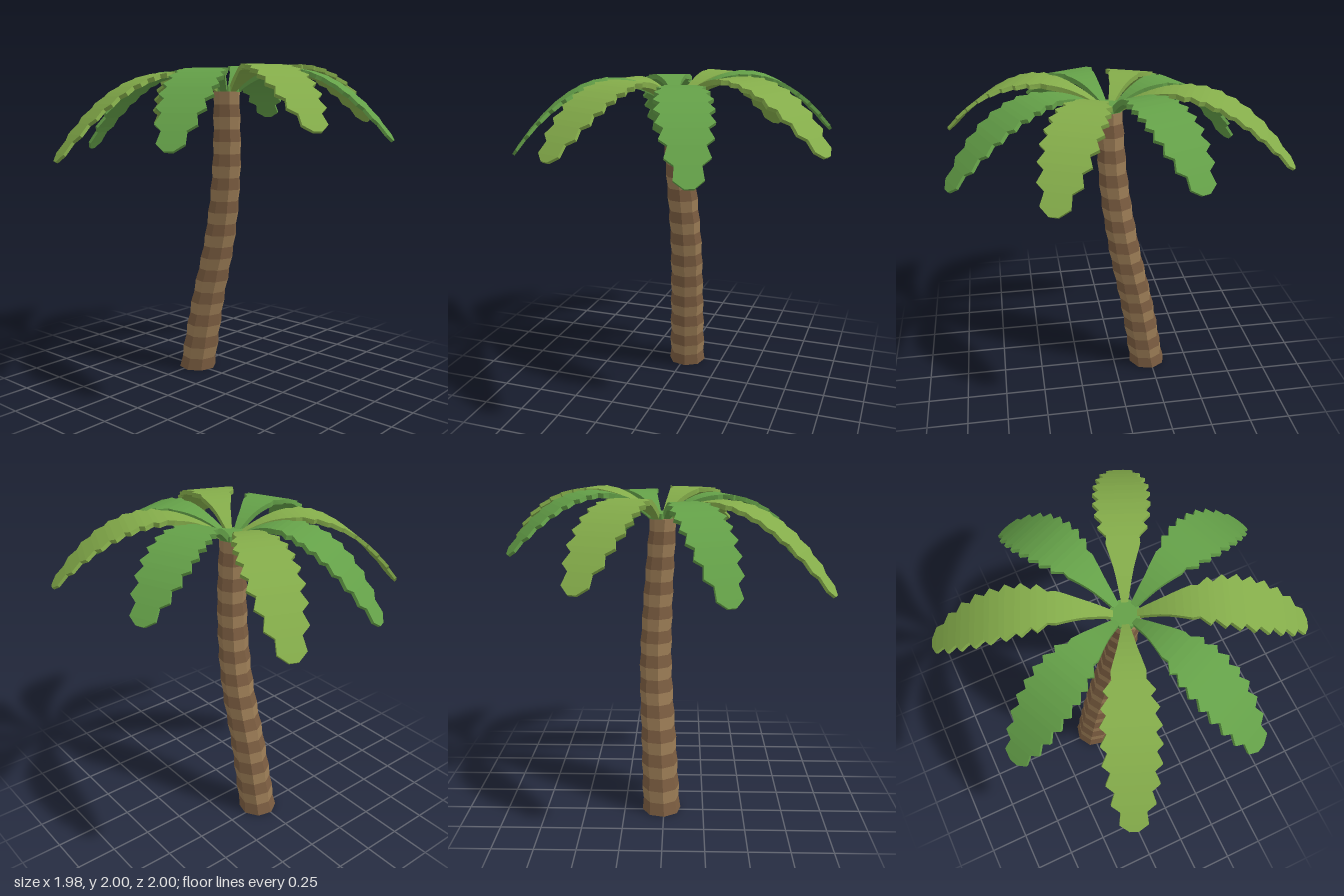
import * as THREE from 'three';
import { mergeGeometries } from 'three/addons/utils/BufferGeometryUtils.js';

// Joins a row of cross-sections (counterclockwise seen from the far end) into a closed, faceted solid.
function loft(rings) {
  const n = rings[0].length;
  const pos = [];
  const tri = (...pts) => pts.forEach((p) => pos.push(p.x, p.y, p.z));
  for (let i = 0; i < rings.length - 1; i++) {
    for (let j = 0; j < n; j++) {
      const k = (j + 1) % n;
      const a = rings[i][j], b = rings[i][k], c = rings[i + 1][k], d = rings[i + 1][j];
      tri(a, b, c);
      tri(a, c, d);
    }
  }
  const first = rings[0], last = rings[rings.length - 1];
  for (let j = 1; j < n - 1; j++) {
    tri(first[0], first[j + 1], first[j]);
    tri(last[0], last[j], last[j + 1]);
  }
  const geo = new THREE.BufferGeometry();
  geo.setAttribute('position', new THREE.Float32BufferAttribute(pos, 3));
  geo.computeVertexNormals();
  return geo;
}

const V = (x, y, z) => new THREE.Vector3(x, y, z);
const flat = (color) => new THREE.MeshStandardMaterial({ color, flatShading: true });

function part(name, geo, mat) {
  const mesh = new THREE.Mesh(geo, mat);
  mesh.name = name;
  return mesh;
}

// Leaning trunk: 24 bands in two browns, every second joint a little wider.
function createTrunk() {
  const path = new THREE.CatmullRomCurve3([
    V(-0.23, 0, -0.015), V(-0.155, 0.46, -0.035), V(-0.06, 0.92, -0.055),
    V(0.005, 1.37, -0.04), V(0.03, 1.83, -0.01),
  ]);
  const bands = 24, sides = 8;
  const rings = [];
  for (let i = 0; i <= bands; i++) {
    const t = i / bands;
    const c = path.getPoint(t);
    const r = THREE.MathUtils.lerp(0.12, 0.083, t) * (i % 2 ? 0.95 : 1.02);
    rings.push(Array.from({ length: sides }, (_, j) => {
      const a = (j / sides) * Math.PI * 2 + 0.15;
      return V(c.x + r * Math.cos(a), c.y, c.z - r * Math.sin(a));
    }));
  }
  const sets = [[], []];
  for (let i = 0; i < bands; i++) sets[i % 2].push(loft([rings[i], rings[i + 1]]));
  const trunk = new THREE.Group();
  trunk.name = 'trunk';
  trunk.add(part('darkBands', mergeGeometries(sets[0]), flat(0x7a5c40)));
  trunk.add(part('lightBands', mergeGeometries(sets[1]), flat(0x9c7d56)));
  return trunk;
}

// Half-width of a frond along its length, as [fraction, width].
const outline = [[0, 0.018], [0.15, 0.05], [0.35, 0.11], [0.5, 0.14], [0.68, 0.142],
  [0.82, 0.118], [0.93, 0.082], [1, 0.025]];

function halfWidth(t) {
  const i = Math.max(1, outline.findIndex((p) => p[0] >= t));
  const [t0, w0] = outline[i - 1], [t1, w1] = outline[i];
  return w0 + ((w1 - w0) * (t - t0)) / (t1 - t0);
}

// Arched frond along +x with toothed sides; the arch is a parabola set by its peak and tip heights.
function frondGeometry(length, peak, tip) {
  const base = 1.86, start = 0.06, steps = 24;
  const rise = peak - base, drop = base - tip;
  const a = 2 * rise + 2 * Math.sqrt(rise * rise + rise * drop);
  const b = a + drop;
  const rings = [];
  for (let i = 0; i <= steps; i++) {
    const t = i / steps;
    const toothed = t > 0.32 && i < steps;
    const tooth = toothed ? (i % 2 ? 0.02 : -0.016) : 0;
    const x = start + t * (length - start) + (toothed && i % 2 ? 0.012 : 0);
    const s = (x - start) / (length - start);
    const y = base + a * s - b * s * s;
    const slope = (a - 2 * b * s) / (length - start);
    const thick = THREE.MathUtils.lerp(0.036, 0.016, t);
    const n = Math.hypot(1, slope);
    const ux = x + (slope / n) * thick, uy = y - thick / n;
    const w = halfWidth(t) + tooth;
    rings.push([V(x, y, -w), V(x, y, w), V(ux, uy, w), V(ux, uy, -w)]);
  }
  return loft(rings);
}

export function createModel() {
  const model = new THREE.Group();
  model.name = 'palmTree';
  model.add(createTrunk());

  const crown = new THREE.Group();
  crown.name = 'crown';
  crown.position.set(0.03, 0, -0.02);
  const greens = [flat(0x64a048), flat(0x84ac4a)];

  const hub = part('crownHub', new THREE.CylinderGeometry(0.085, 0.085, 0.035, 8), greens[0]);
  hub.position.y = 1.845;
  crown.add(hub);

  // Tip x, tip z, peak height, tip height; greens alternate around the crown.
  const fronds = [
    [0.98, -0.4, 1.97, 1.55], [0.45, -0.99, 2.0, 1.64],
    [-0.33, -0.9, 2.0, 1.66], [-0.98, -0.44, 1.98, 1.57],
    [-0.83, 0.37, 1.955, 1.47], [-0.39, 0.99, 1.945, 1.44],
    [0.42, 0.89, 1.965, 1.53], [0.98, 0.38, 1.985, 1.63],
  ];
  fronds.forEach(([x, z, peak, tip], i) => {
    const dx = x - crown.position.x, dz = z - crown.position.z;
    const frond = part('frond' + (i + 1), frondGeometry(Math.hypot(dx, dz), peak, tip), greens[i % 2]);
    frond.rotation.y = Math.atan2(-dz, dx);
    crown.add(frond);
  });
  model.add(crown);
  return model;
}
